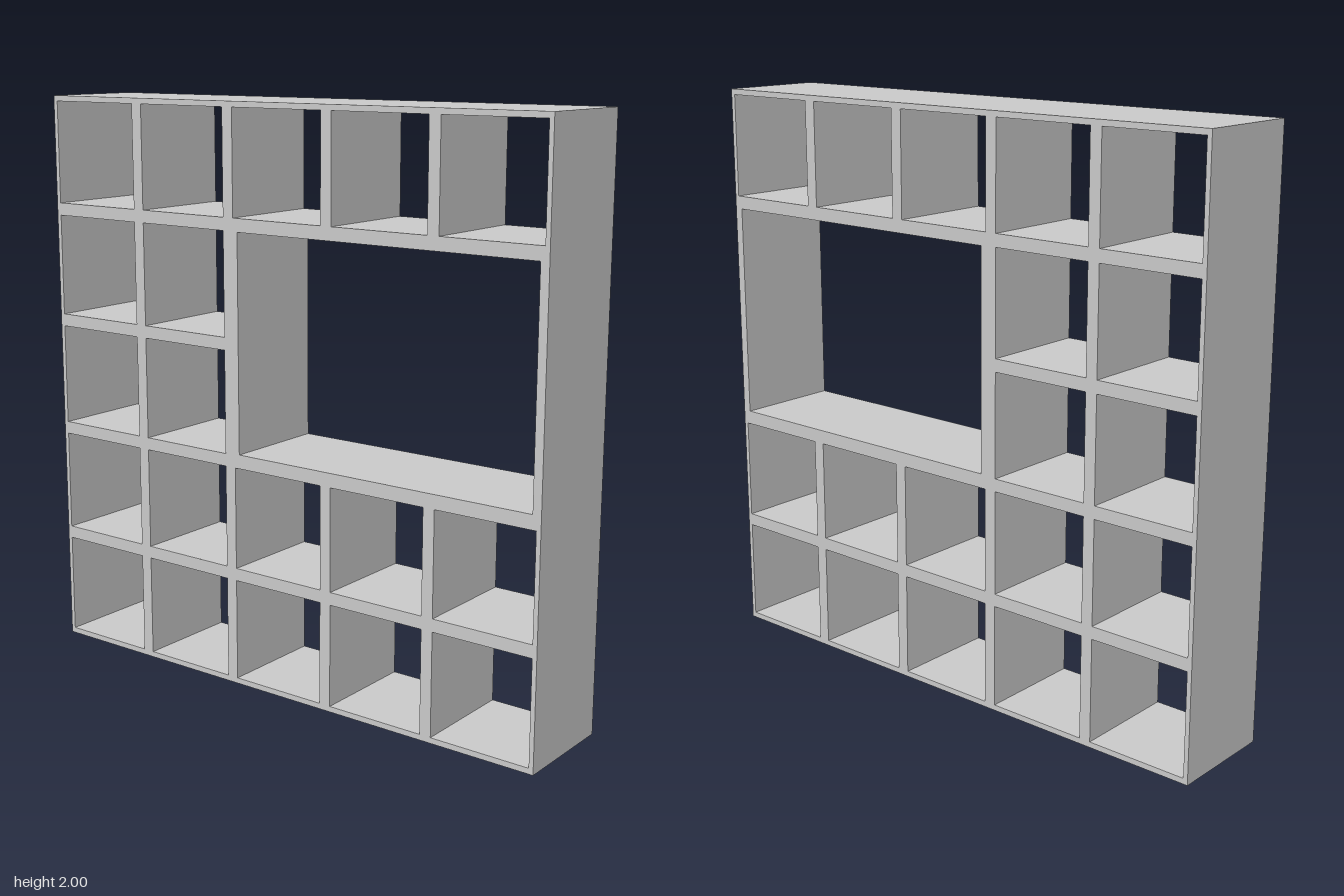
import * as THREE from 'three';

const DEPTH = 0.38;

// Rectangular opening centred on (z, y)
function opening(z, y, w, h) {
  const p = new THREE.Path();
  p.moveTo(z - w / 2, y - h / 2);
  p.lineTo(z - w / 2, y + h / 2);
  p.lineTo(z + w / 2, y + h / 2);
  p.lineTo(z + w / 2, y - h / 2);
  p.closePath();
  return p;
}

export function createModel() {
  const group = new THREE.Group();
  group.name = 'cubeShelf';

  // Outer outline, drawn in the z-y plane
  const outline = new THREE.Shape();
  outline.moveTo(-1, 0);
  outline.lineTo(1, 0);
  outline.lineTo(1, 2);
  outline.lineTo(-1, 2);
  outline.closePath();

  // 5 x 5 open compartments, leaving out the 3 x 2 block of the large bay
  for (let row = 0; row < 5; row++) {
    for (let col = 0; col < 5; col++) {
      const inBay = col >= 2 && (row === 2 || row === 3);
      if (inBay) continue;
      outline.holes.push(opening((col - 2) * 0.402, 1 + (row - 2) * 0.401, 0.36, 0.357));
    }
  }

  // Large bay
  outline.holes.push(opening(0.404, 1.202, 1.132, 0.752));

  // Extrude across the depth and turn so the openings face +x and -x
  const geometry = new THREE.ExtrudeGeometry(outline, { depth: DEPTH, bevelEnabled: false });
  geometry.rotateY(-Math.PI / 2);
  geometry.translate(DEPTH / 2, 0, 0);

  const frame = new THREE.Mesh(geometry, new THREE.MeshStandardMaterial({ color: 0xcccccc }));
  frame.name = 'shelfFrame';
  group.add(frame);
  return group;
}
